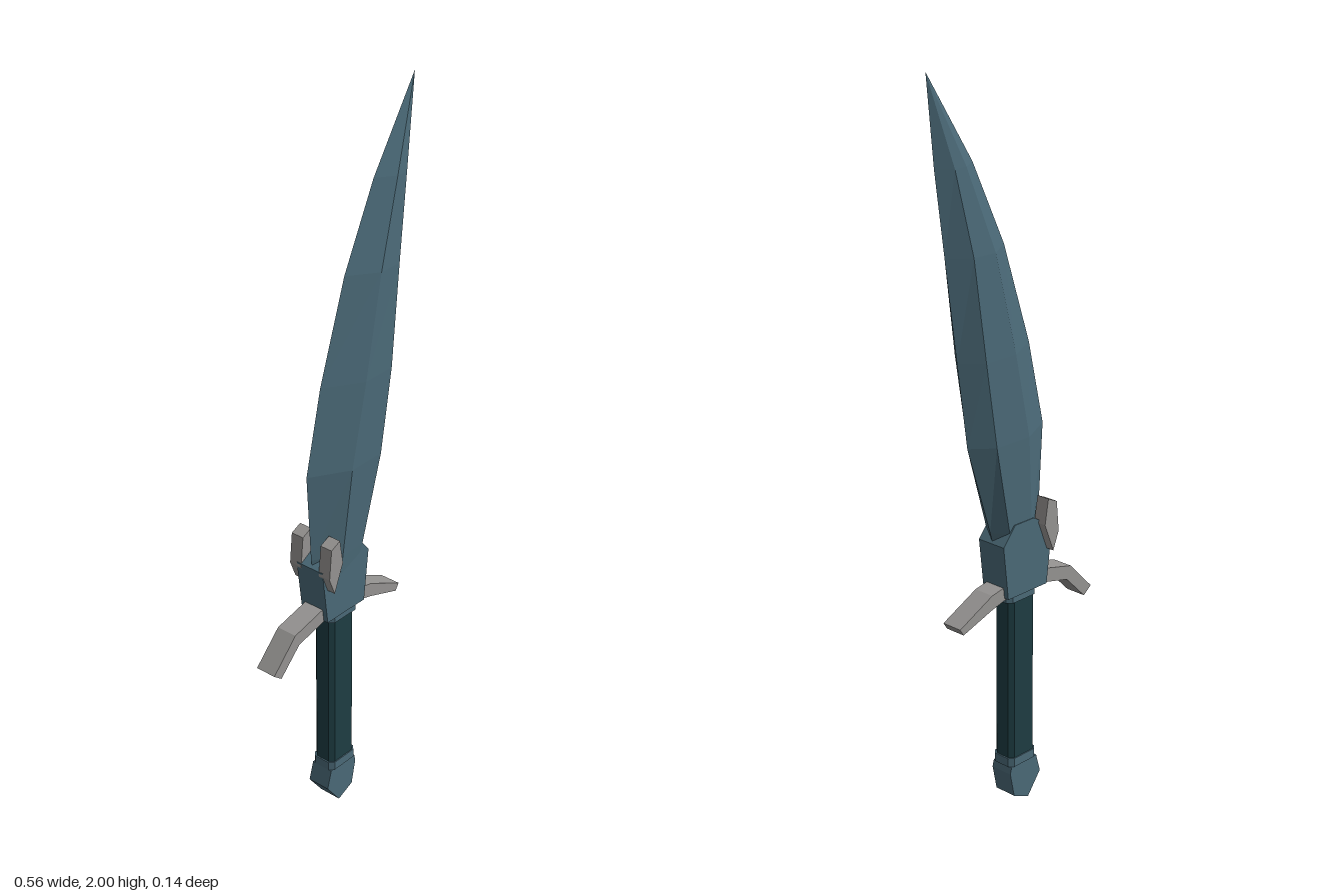
import * as THREE from 'three';

const makeMaterial = (name, color) => {
  const m = new THREE.MeshStandardMaterial({ color });
  m.name = name;
  return m;
};

export function createModel() {
  const model = new THREE.Group();
  model.name = 'dagger';
  const steel = makeMaterial('blue steel', 0x4b6a78);
  const grey = makeMaterial('grey metal', 0x969492);
  const wrap = makeMaterial('dark teal grip', 0x1e3d43);

  const add = (name, geometry, material) => {
    const mesh = new THREE.Mesh(geometry, material);
    mesh.name = name;
    model.add(mesh);
    return mesh;
  };

  // Flat plate: an outline in x and y, extruded from z0 to z1
  const plate = (name, points, z0, z1, material) => {
    const shape = new THREE.Shape(points.map(([x, y]) => new THREE.Vector2(x, y)));
    const geometry = new THREE.ExtrudeGeometry(shape, { depth: z1 - z0, bevelEnabled: false });
    return add(name, geometry.translate(0, 0, z0), material);
  };

  // Eight-sided bar with chamfered corners, standing between y0 and y1
  const bar = (name, cx, halfX, halfZ, chamfer, y0, y1, material) => {
    const a = halfX - chamfer, b = halfZ - chamfer;
    const outline = [[-a, -halfZ], [a, -halfZ], [halfX, -b], [halfX, b],
      [a, halfZ], [-a, halfZ], [-halfX, b], [-halfX, -b]];
    const shape = new THREE.Shape(outline.map(([x, z]) => new THREE.Vector2(x, z)));
    const geometry = new THREE.ExtrudeGeometry(shape, { depth: y1 - y0, bevelEnabled: false });
    return add(name, geometry.rotateX(-Math.PI / 2).translate(cx, y0, 0), material);
  };

  // Blade sections: y, back edge, first ridge, second ridge, cutting edge, front z, rear z
  const sections = [
    [0.70, -0.085, -0.045, 0.02, 0.045, 0.040, -0.040],
    [0.80, -0.105, -0.035, 0.045, 0.075, 0.047, -0.043],
    [1.05, -0.120, -0.015, 0.10, 0.155, 0.061, -0.052],
    [1.28, -0.067, 0.035, 0.137, 0.188, 0.062, -0.053],
    [1.55, 0.023, 0.100, 0.172, 0.226, 0.053, -0.047],
    [1.77, 0.130, 0.180, 0.217, 0.257, 0.034, -0.030],
    [2.00, 0.280, 0.280, 0.280, 0.280, 0, 0]
  ];
  const loops = sections.map(([y, e0, r0, r1, e1, zf, zb]) => [
    [e0, y, 0], [r0, y, zf], [r1, y, zf * 0.95], [e1, y, 0], [r1, y, zb * 0.95], [r0, y, zb]
  ]);
  const positions = [];
  for (let s = 0; s < loops.length - 1; s++) {
    const tip = s === loops.length - 2;
    for (let i = 0; i < 6; i++) {
      const j = (i + 1) % 6;
      const a = loops[s][i], b = loops[s][j], c = loops[s + 1][j], d = loops[s + 1][i];
      positions.push(...a, ...b, ...c);
      if (!tip) positions.push(...a, ...c, ...d);
    }
  }
  const blade = new THREE.BufferGeometry();
  blade.setAttribute('position', new THREE.Float32BufferAttribute(positions, 3));
  blade.computeVertexNormals();
  add('blade', blade, steel);

  // Collar that holds the blade
  plate('collar', [[-0.09, 0.62], [0.055, 0.62], [0.072, 0.77], [0.03, 0.82],
    [-0.04, 0.82], [-0.11, 0.78]], -0.045, 0.043, steel);

  // Grey side plates, one on each face
  const sidePlate = [[-0.09, 0.72], [-0.058, 0.80], [-0.07, 0.87], [-0.102, 0.855], [-0.11, 0.77]];
  plate('frontSidePlate', sidePlate, 0.03, 0.067, grey);
  plate('backSidePlate', sidePlate, -0.068, -0.03, grey);

  // Guard arms
  plate('rightGuardArm', [[-0.255, 0.525], [-0.185, 0.595], [-0.07, 0.622], [-0.07, 0.662],
    [-0.20, 0.63], [-0.282, 0.546]], -0.031, 0.029, grey);
  plate('leftGuardArm', [[0.03, 0.62], [0.10, 0.602], [0.205, 0.567], [0.217, 0.586],
    [0.10, 0.642], [0.03, 0.655]], -0.031, 0.029, grey);

  // Handle: grip between two rings
  bar('upperRing', -0.012, 0.053, 0.036, 0.012, 0.598, 0.622, steel);
  bar('grip', -0.016, 0.047, 0.033, 0.012, 0.12, 0.60, wrap);
  bar('lowerRing', -0.016, 0.051, 0.036, 0.012, 0.115, 0.14, steel);

  // Pommel
  plate('pommel', [[-0.034, 0], [0.02, 0.024], [0.035, 0.095], [0.03, 0.115],
    [-0.066, 0.115], [-0.081, 0.062]], -0.033, 0.033, steel);

  return model;
}
